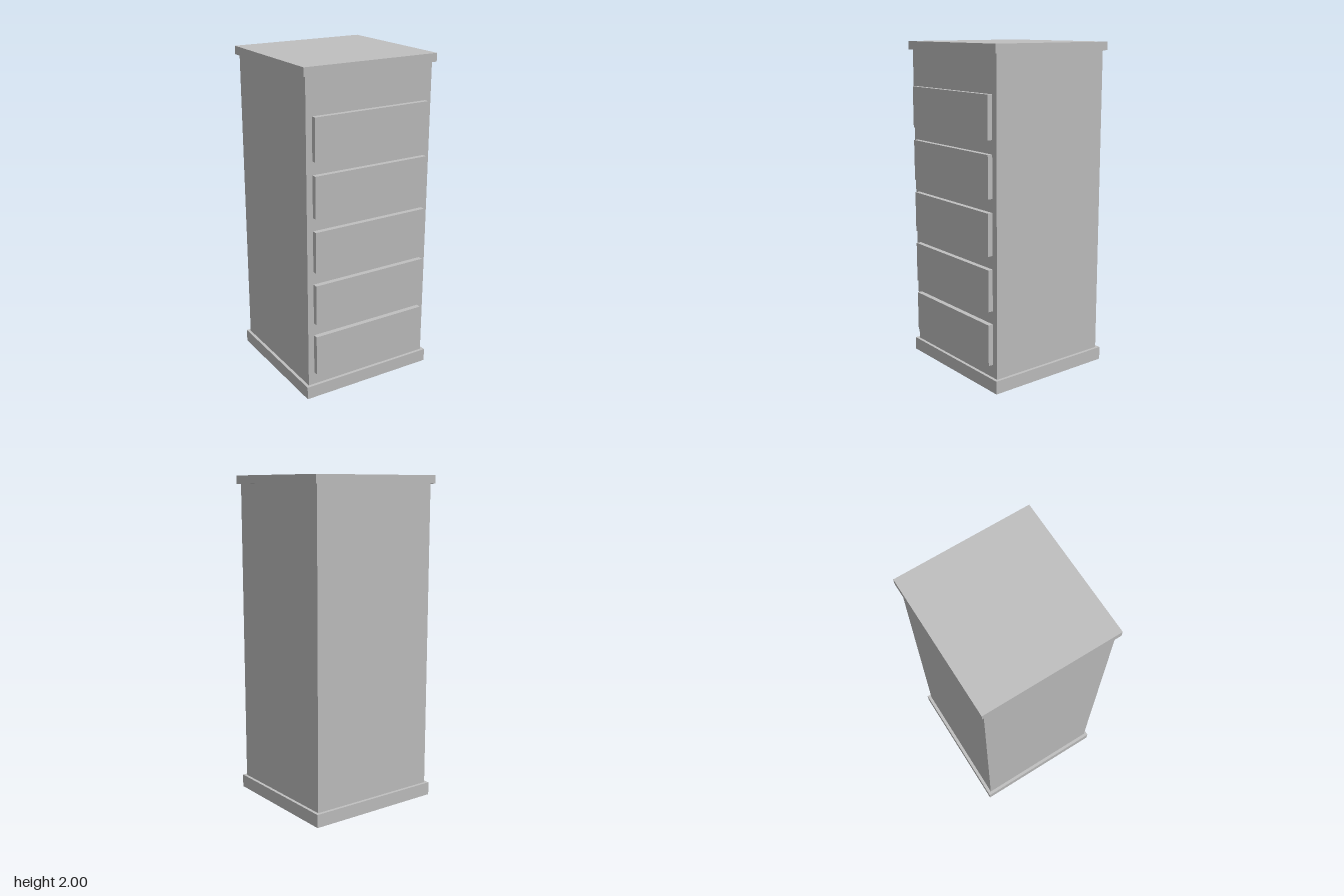
import * as THREE from 'three';

export function createModel() {
  const model = new THREE.Group();
  model.name = 'drawerCabinet';

  const grey = new THREE.MeshStandardMaterial({ color: 0xc0c0c0 });
  grey.name = 'light grey';

  // Box given by its lower and upper limits on each axis
  function addBox(name, [x0, x1], [y0, y1], [z0, z1]) {
    const mesh = new THREE.Mesh(new THREE.BoxGeometry(x1 - x0, y1 - y0, z1 - z0), grey);
    mesh.name = name;
    mesh.position.set((x0 + x1) / 2, (y0 + y1) / 2, (z0 + z1) / 2);
    model.add(mesh);
  }

  // Plinth, carcass and top slab
  addBox('plinth', [-0.436, 0.436], [0, 0.08], [-0.423, 0.411]);
  addBox('carcass', [-0.417, 0.417], [0.08, 1.95], [-0.403, 0.392]);
  addBox('topSlab', [-0.436, 0.436], [1.95, 2], [-0.423, 0.411]);

  // Five evenly spaced drawer fronts
  for (let i = 0; i < 5; i++) {
    const y = 0.16 + i * 0.33;
    addBox(`drawerFront${i + 1}`, [-0.378, 0.378], [y, y + 0.25], [0.392, 0.423]);
  }

  return model;
}
